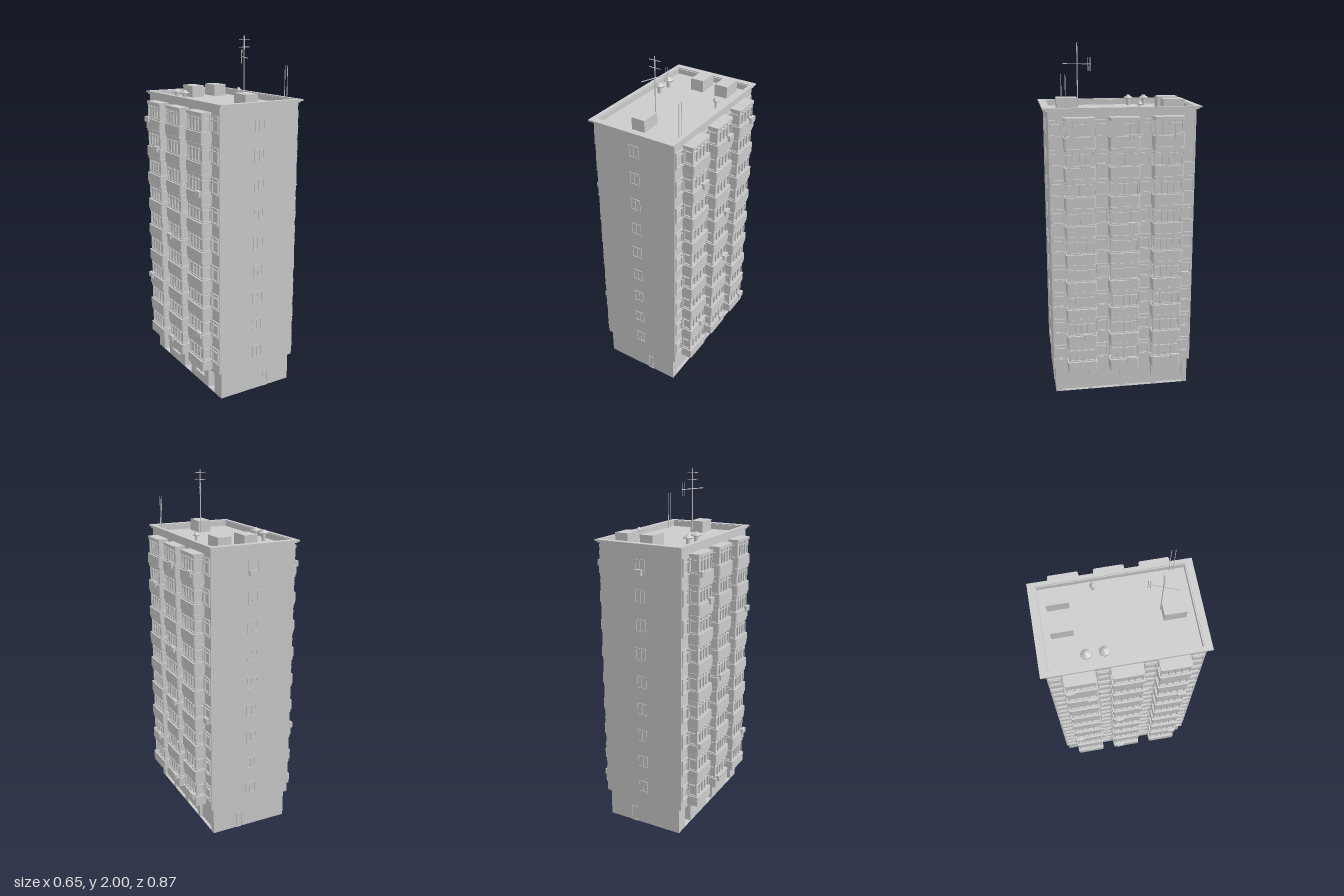
import * as THREE from 'three';

const mat = new THREE.MeshStandardMaterial({ color: 0xcccccc, side: THREE.DoubleSide });
const FLOORS = 9, PITCH = 0.1625, BASE_H = 0.16;
const BAYS = [-0.243, 0, 0.243];

function add(parent, name, geo, x = 0, y = 0, z = 0) {
  const m = new THREE.Mesh(geo, mat);
  m.name = name;
  m.position.set(x, y, z);
  parent.add(m);
  return m;
}
const box = (p, name, w, h, d, x, y, z) => add(p, name, new THREE.BoxGeometry(w, h, d), x, y, z);

function group(parent, name, x = 0, y = 0, z = 0) {
  const g = new THREE.Group();
  g.name = name;
  g.position.set(x, y, z);
  parent.add(g);
  return g;
}

function rect(C, x0, y0, x1, y1) {
  const s = new C();
  s.moveTo(x0, y0); s.lineTo(x1, y0); s.lineTo(x1, y1); s.lineTo(x0, y1); s.closePath();
  return s;
}

// Flat plate in XY with rectangular holes, extruded toward +z
function plate(outer, holes, depth) {
  const s = rect(THREE.Shape, ...outer);
  for (const h of holes) s.holes.push(rect(THREE.Path, ...h));
  return new THREE.ExtrudeGeometry(s, { depth, bevelEnabled: false });
}

// Window frame: columns split at fractions, optional transom at a fraction of the height
function frame(w, h, cols, transom, depth = 0.008, t = 0.006) {
  const xs = [0, ...cols, 1], ys = transom ? [0, transom, 1] : [0, 1], holes = [];
  const edge = (a, i, size, dir) => (a[i] - 0.5) * size + dir * (i === 0 || i === a.length - 1 ? t : t / 2);
  for (let i = 0; i < xs.length - 1; i++) for (let j = 0; j < ys.length - 1; j++)
    holes.push([edge(xs, i, w, 1), edge(ys, j, h, 1), edge(xs, i + 1, w, -1), edge(ys, j + 1, h, -1)]);
  return plate([-w / 2, -h / 2, w / 2, h / 2], holes, depth);
}

// Bay outline seen from above, outer corners rounded, raised by h
function bayGeo(out, half, h, r = 0.01) {
  const s = new THREE.Shape();
  s.moveTo(0.24, -half);
  s.lineTo(out - r, -half);
  s.quadraticCurveTo(out, -half, out, -half + r);
  s.lineTo(out, half - r);
  s.quadraticCurveTo(out, half, out - r, half);
  s.lineTo(0.24, half);
  s.closePath();
  return new THREE.ExtrudeGeometry(s, { depth: h, bevelEnabled: false, curveSegments: 3 }).rotateX(-Math.PI / 2);
}

const parapetGeo = bayGeo(0.315, 0.085, 0.058);
const glassGeo = bayGeo(0.296, 0.07, 0.09, 0.002);
const slabGeo = bayGeo(0.311, 0.082, 0.015);
const bayFrontGeo = frame(0.156, 0.088, [0.28, 0.5, 0.72], 0.76).rotateY(Math.PI / 2);
const baySideGeo = frame(0.052, 0.088, [], 0.76);
const wallWindowGeo = frame(0.064, 0.088, [], 0.72).rotateY(Math.PI / 2);
const endWindowGeo = frame(0.062, 0.072, [0.5], 0);

// One glazed balcony of one floor
function bay(parent, y, z) {
  const g = group(parent, 'balcony', 0, y, z);
  add(g, 'balconyParapet', parapetGeo);
  add(g, 'balconyGlass', glassGeo, 0, 0.057, 0);
  add(g, 'balconyFrontFrame', bayFrontGeo, 0.296, 0.102, 0);
  add(g, 'balconySideFrame', baySideGeo, 0.274, 0.102, 0.07);
  add(g, 'balconySideFrame', baySideGeo, 0.274, 0.102, -0.078);
  add(g, 'balconyRoof', slabGeo, 0, 0.145, 0);
}

function airConditioner(parent, x, y, z) {
  const g = group(parent, 'airConditioner', x, y, z);
  box(g, 'unit', 0.018, 0.032, 0.046, 0, 0, 0);
  add(g, 'fanGuard', new THREE.TorusGeometry(0.011, 0.0015, 4, 12).rotateY(Math.PI / 2), 0.009, 0, 0.006);
}

// A long facade, built facing +x
function facade(parent, name, units) {
  const g = group(parent, name);
  for (let i = 0; i < FLOORS; i++) {
    const y = 0.162 + i * PITCH;
    for (const z of BAYS) bay(g, y, z);
    for (const z of [-0.366, -0.1215, 0.1215, 0.366]) {
      add(g, 'wallWindow', wallWindowGeo, 0.248, y + 0.102, z);
      box(g, 'windowSill', 0.014, 0.005, 0.068, 0.252, y + 0.056, z);
    }
  }
  for (const [floor, z, onWall] of units)
    airConditioner(g, onWall ? 0.258 : 0.317, 0.218 + floor * PITCH, z);
  return g;
}

// Base wall facing +x with openings [z0, y0, z1, y1] and panels set back behind them
function baseWall(parent, name, openings, setBack) {
  const g = group(parent, name);
  add(g, 'baseWall', plate([-0.392, 0, 0.392, BASE_H], openings, 0.012).rotateY(Math.PI / 2), 0.218, 0, 0);
  for (const [a, b, c, d] of openings) {
    const z = -(a + c) / 2, y = (b + d) / 2;
    box(g, 'recessPanel', 0.006, d - b, c - a, 0.215 - setBack, y, z);
    add(g, 'recessLining', frame(c - a + 0.006, d - b + 0.006, [], 0, setBack + 0.006, 0.004).rotateY(Math.PI / 2), 0.215 - setBack, y, z);
  }
  return g;
}

function rod(parent, name, a, b, r = 0.002) {
  const A = new THREE.Vector3(...a), B = new THREE.Vector3(...b), d = B.clone().sub(A);
  const m = add(parent, name, new THREE.CylinderGeometry(r, r, d.length(), 6));
  m.position.copy(A).add(B).multiplyScalar(0.5);
  m.quaternion.setFromUnitVectors(new THREE.Vector3(0, 1, 0), d.normalize());
}

export function createModel() {
  const model = new THREE.Group();
  model.name = 'apartmentTower';

  // Main block
  box(model, 'mainBlock', 0.496, 1.635 - BASE_H, 0.81, 0, (1.635 + BASE_H) / 2, 0);

  // Hollow base, open underneath
  for (const s of [1, -1]) {
    const end = group(model, s > 0 ? 'frontBase' : 'backBase');
    box(end, 'endBaseWall', 0.46, BASE_H, 0.012, 0, BASE_H / 2, s * 0.389);
    add(end, 'serviceDoorFrame', frame(0.036, 0.096, [], 0, 0.004, 0.003), 0.067, 0.048, s > 0 ? 0.394 : -0.398);
  }
  baseWall(model, 'garageBase', [[-0.355, 0.003, -0.2, 0.135], [-0.175, 0.003, -0.015, 0.135],
    [0.02, 0.003, 0.175, 0.135], [0.205, 0.003, 0.365, 0.135]], 0.004);
  const entrances = baseWall(model, 'entranceBase', [[-0.32, 0.003, -0.25, 0.125], [-0.2, 0.05, -0.1, 0.12],
    [-0.04, 0.003, 0.04, 0.125], [0.1, 0.05, 0.2, 0.12], [0.25, 0.003, 0.32, 0.125]], 0.035);
  entrances.rotation.y = Math.PI;
  for (const z of [-0.285, 0, 0.285])
    add(entrances, 'entranceDoor', frame(0.056, 0.11, [0.5], 0.7, 0.006, 0.005).rotateY(Math.PI / 2), 0.183, 0.058, z);

  // Long facades
  facade(model, 'leftFacade', [[8, -0.045], [8, -0.295], [7, 0.215], [7, 0.125, true], [5, -0.045],
    [3, -0.05], [3, -0.36, true], [1, 0.212], [0, -0.04], [0, -0.295]]);
  facade(model, 'rightFacade', [[8, 0.3], [7, 0.195], [6, -0.3], [6, -0.105, true], [4, 0.045],
    [2, 0.3], [1, -0.3], [0, 0.045]]).rotation.y = Math.PI;

  // End windows
  for (let i = 0; i < FLOORS; i++) for (const s of [1, -1]) {
    const y = 0.247 + i * PITCH;
    add(model, 'endWindow', endWindowGeo, 0, y, s > 0 ? 0.401 : -0.409);
  }
  box(model, 'endAirConditioner', 0.046, 0.032, 0.018, 0.005, 1.515, -0.415);

  // Roof parapet and overhanging cap
  const ring = (ox, oz, ix, iz, h) => plate([-ox, -oz, ox, oz], [[-ix, -iz, ix, iz]], h).rotateX(-Math.PI / 2);
  add(model, 'roofParapet', ring(0.248, 0.405, 0.232, 0.388, 0.04), 0, 1.625, 0);
  add(model, 'cornice', ring(0.254, 0.418, 0.236, 0.392, 0.01), 0, 1.652, 0);
  add(model, 'roofCap', ring(0.26, 0.433, 0.237, 0.395, 0.009), 0, 1.661, 0);

  // Roof housings
  for (const [x, z] of [[-0.011, -0.293], [0.142, -0.293], [-0.011, 0.284]])
    box(model, 'roofHousing', 0.078, 0.07, 0.117, x, 1.667, z);

  // Mushroom vents
  for (const [x, z, r] of [[-0.175, -0.193, 0.028], [-0.175, -0.1, 0.028], [0.188, -0.1, 0.016]]) {
    const g = group(model, 'roofVent', x, 1.63, z);
    add(g, 'ventPipe', new THREE.CylinderGeometry(r * 0.4, r * 0.4, 0.055, 12), 0, 0.0275, 0);
    const cap = [[0, 0.046], [1, 0.046], [0.95, 0.052], [0.4, 0.06], [0.35, 0.066], [0, 0.066]];
    add(g, 'ventCap', new THREE.LatheGeometry(cap.map(([a, b]) => new THREE.Vector2(a * r, b)), 20));
  }

  // Aerial and whip masts
  const aerial = group(model, 'aerial');
  rod(aerial, 'mast', [0.016, 1.63, 0.222], [0.016, 2, 0.222], 0.003);
  for (const y of [1.98, 1.94]) rod(aerial, 'crossBar', [-0.017, y, 0.222], [0.05, y, 0.222]);
  rod(aerial, 'boom', [-0.014, 1.887, 0.3], [0.046, 1.887, 0.147], 0.0025);
  for (const [x, z] of [[0.044, 0.153], [0.039, 0.164]]) rod(aerial, 'boomElement', [x, 1.85, z], [x, 1.925, z]);
  for (const z of [0.308, 0.33]) rod(model, 'whipMast', [0.226, 1.63, z], [0.226, 1.845, z]);

  return model;
}
